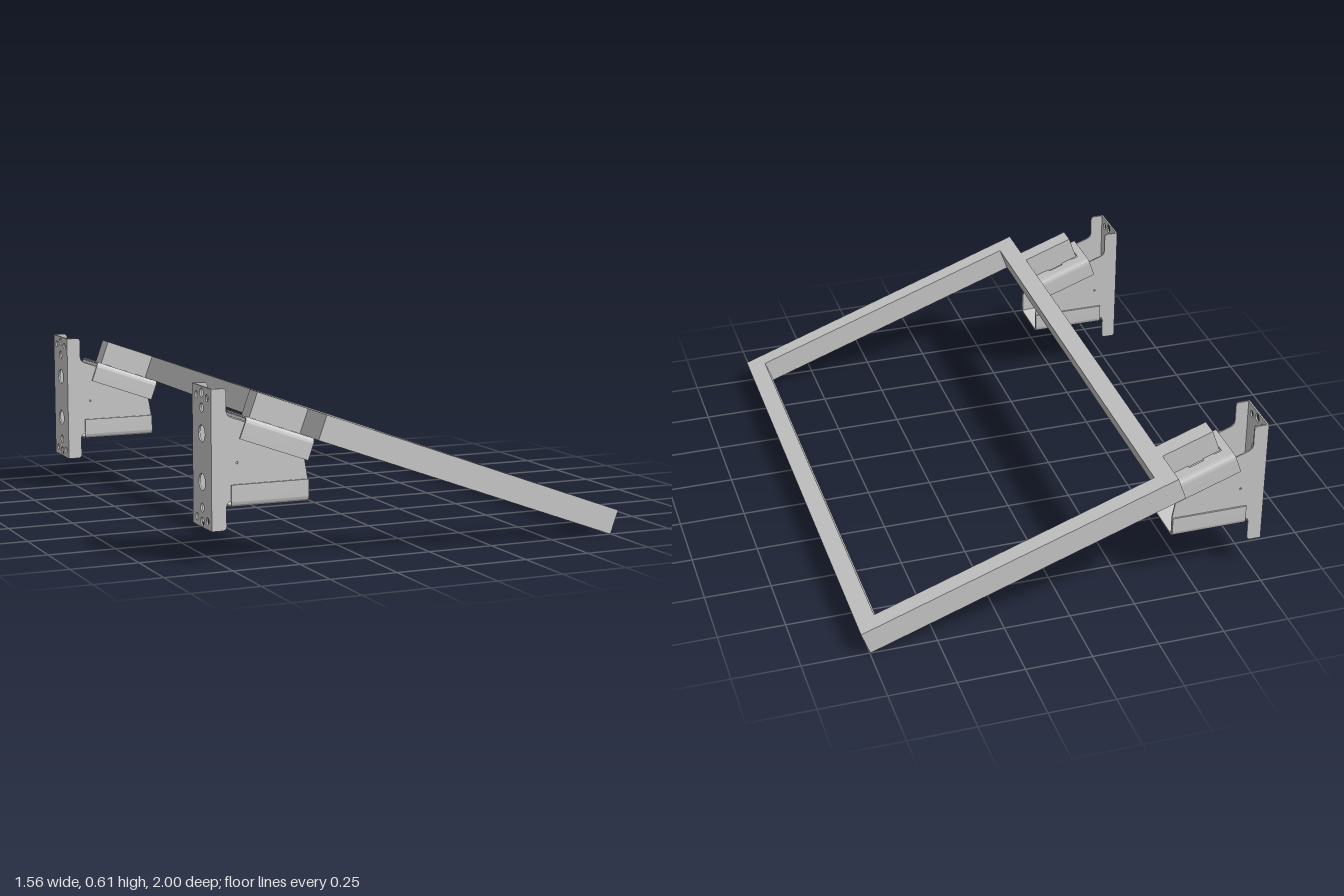
import * as THREE from 'three';
import { toCreasedNormals } from 'three/addons/utils/BufferGeometryUtils.js';

const material = new THREE.MeshStandardMaterial({ color: 0xcccccc, side: THREE.DoubleSide });
const TILT = -20 * Math.PI / 180;
const SHEET = 0.006;

function mesh(name, geometry, x = 0, y = 0, z = 0) {
  const m = new THREE.Mesh(toCreasedNormals(geometry, 0.6), material);
  m.name = name;
  m.position.set(x, y, z);
  return m;
}

// Extrusion centred on its depth
function extrude(shape, depth) {
  return new THREE.ExtrudeGeometry(shape, { depth, bevelEnabled: false, curveSegments: 8 })
    .translate(0, 0, -depth / 2);
}

function rect(Type, w, h, x = 0, y = 0) {
  const p = new Type();
  p.moveTo(x - w / 2, y - h / 2);
  p.lineTo(x + w / 2, y - h / 2);
  p.lineTo(x + w / 2, y + h / 2);
  p.lineTo(x - w / 2, y + h / 2);
  p.closePath();
  return p;
}

function hole(x, y, r) {
  const p = new THREE.Path();
  p.absarc(x, y, r, 0, Math.PI * 2, true);
  return p;
}

// U-shaped clip: slotted web at y = 0, rounded bends and flanges rising to 0.08
function createClip(name, length) {
  const clip = new THREE.Group();
  clip.name = name;
  const web = rect(THREE.Shape, length, 0.16);
  web.holes.push(rect(THREE.Path, 0.03, 0.08, -0.09), rect(THREE.Path, 0.06, 0.012, 0, 0.04),
    rect(THREE.Path, 0.06, 0.012, 0, -0.04));
  clip.add(mesh('clipWeb', extrude(web, SHEET).rotateX(Math.PI / 2), 0, SHEET / 2));
  const bend = new THREE.Shape();
  bend.moveTo(0.08, 0);
  bend.absarc(0.08, 0.02, 0.02, -Math.PI / 2, 0, false);
  bend.lineTo(0.1, 0.08);
  bend.lineTo(0.1 - SHEET, 0.08);
  bend.lineTo(0.1 - SHEET, 0.02);
  bend.absarc(0.08, 0.02, 0.02 - SHEET, 0, -Math.PI / 2, true);
  bend.closePath();
  for (const turn of [Math.PI / 2, -Math.PI / 2]) {
    clip.add(mesh('clipFlange', extrude(bend, length).rotateY(turn)));
  }
  return clip;
}

function createBracket() {
  const bracket = new THREE.Group();
  bracket.name = 'wallBracket';

  // Perforated wall plate
  const plate = rect(THREE.Shape, 0.18, 0.495, 0, 0.3675);
  for (const y of [0.15, 0.58]) {
    for (const z of [-0.05, 0.05]) plate.holes.push(hole(z, y, 0.013));
  }
  for (const y of [0.14, 0.19, 0.54, 0.593]) plate.holes.push(hole(0, y, 0.016));
  for (const y of [0.28, 0.45]) plate.holes.push(hole(0, y, 0.03));
  bracket.add(mesh('wallPlate', extrude(plate, SHEET).rotateY(Math.PI / 2), -0.782));

  // Side cheeks with narrow flanges above and below
  const cheek = new THREE.Shape();
  cheek.moveTo(-0.785, 0.12);
  cheek.lineTo(-0.745, 0.12);
  cheek.quadraticCurveTo(-0.73, 0.12, -0.73, 0.135);
  cheek.lineTo(-0.73, 0.2);
  cheek.quadraticCurveTo(-0.73, 0.22, -0.712, 0.22);
  cheek.lineTo(-0.425, 0.21);
  cheek.lineTo(-0.425, 0.28);
  cheek.lineTo(-0.437, 0.35);
  cheek.lineTo(-0.437, 0.415);
  cheek.lineTo(-0.71, 0.513);
  cheek.quadraticCurveTo(-0.73, 0.52, -0.73, 0.54);
  cheek.lineTo(-0.73, 0.6);
  cheek.quadraticCurveTo(-0.73, 0.615, -0.745, 0.615);
  cheek.lineTo(-0.785, 0.615);
  cheek.closePath();
  cheek.holes.push(hole(-0.69, 0.355, 0.004), hole(-0.57, 0.335, 0.004));
  for (const side of [-1, 1]) {
    bracket.add(mesh('sideCheek', extrude(cheek, SHEET), 0, 0, side * 0.087));
  }

  // Lower clip closing the bottom of the cheeks
  const lower = createClip('lowerClip', 0.29);
  lower.position.set(-0.57, 0.2, 0);
  bracket.add(lower);

  // Cross pin between the cheeks
  bracket.add(mesh('crossPin', new THREE.CylinderGeometry(0.01, 0.01, 0.18, 12).rotateX(Math.PI / 2),
    -0.57, 0.335));
  return bracket;
}

export function createModel() {
  const model = new THREE.Group();
  model.name = 'tiltedFrameOnBrackets';

  // Everything parallel to the sloping frame
  const sloped = new THREE.Group();
  sloped.name = 'slopedAssembly';
  sloped.rotation.z = TILT;
  model.add(sloped);

  // Rectangular frame
  const outline = rect(THREE.Shape, 1.254, 2);
  outline.holes.push(rect(THREE.Path, 1.114, 1.86));
  sloped.add(mesh('frame', extrude(outline, 0.093).rotateX(Math.PI / 2), 0.075, 0.304));

  for (const z of [-0.805, 0.805]) {
    // Arm reaching back from the frame
    sloped.add(mesh('mountingArm', new THREE.BoxGeometry(0.204, 0.093, 0.07), -0.654, 0.304, z));

    // Inverted clip carrying the arm
    const cap = createClip('upperClip', 0.272);
    cap.rotation.x = Math.PI;
    cap.position.set(-0.656, 0.258, z);
    sloped.add(cap);

    const bracket = createBracket();
    bracket.position.z = z;
    model.add(bracket);
  }
  return model;
}
